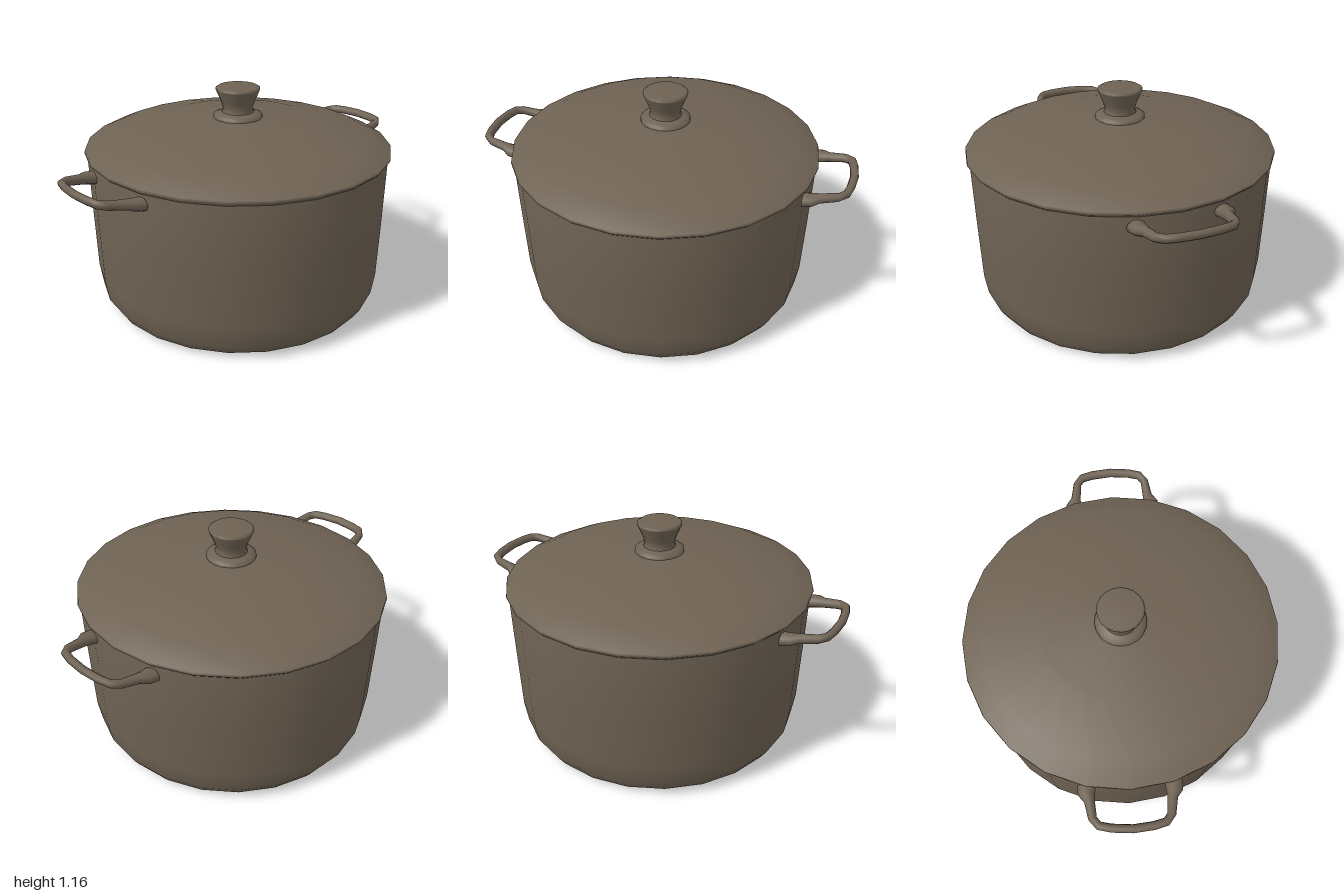
import * as THREE from 'three';

const potBrown = new THREE.MeshStandardMaterial({ color: 0x6e6253 });
potBrown.name = 'potBrown';

// Smooth turned part, slightly narrower in x, from [radius, height] pairs running up the outside
function turned(name, profile, sides) {
  const points = profile.map(([r, y]) => new THREE.Vector2(r, y));
  const geometry = new THREE.LatheGeometry(points, sides).scale(0.988, 1, 1);
  const mesh = new THREE.Mesh(geometry, potBrown);
  mesh.name = name;
  return mesh;
}

// Sweep of oval sections along a path lying in a slightly rising plane
// Each station: [x, z, half width, half height]
function handleGeometry(stations, sides = 10) {
  const positions = [], index = [];
  const n = stations.length;
  const rise = (x) => 0.797 + (x - 0.79) * 0.18;
  stations.forEach(([x, z, w, h], i) => {
    const a = stations[Math.max(i - 1, 0)], b = stations[Math.min(i + 1, n - 1)];
    const t = new THREE.Vector2(b[0] - a[0], b[1] - a[1]).normalize();
    for (let j = 0; j < sides; j++) {
      const angle = (j / sides) * Math.PI * 2;
      const px = x - t.y * Math.cos(angle) * w;
      const pz = z + t.x * Math.cos(angle) * w;
      positions.push(px, rise(px) + Math.sin(angle) * h, pz);
    }
  });
  for (let i = 0; i < n - 1; i++) {
    for (let j = 0; j < sides; j++) {
      const a = i * sides + j, b = i * sides + (j + 1) % sides;
      const c = a + sides, d = b + sides;
      index.push(a, c, b, b, c, d);
    }
  }
  const geometry = new THREE.BufferGeometry();
  geometry.setAttribute('position', new THREE.Float32BufferAttribute(positions, 3));
  geometry.setIndex(index);
  geometry.computeVertexNormals();
  return geometry;
}

export function createModel() {
  const group = new THREE.Group();
  group.name = 'cookingPot';

  // Hollow pot body with rounded foot
  group.add(turned('body', [
    [0, 0.003], [0.67, 0.005], [0.73, 0.03], [0.765, 0.085], [0.782, 0.2],
    [0.79, 0.5], [0.797, 0.838], [0.765, 0.838], [0.755, 0.2], [0.69, 0.05], [0, 0.04],
  ], 24));

  // Lid: flat underside, then a softly rounded rim and dome rising to the knob
  group.add(
    turned('lidUnderside', [[0, 0.838], [0.797, 0.838]], 24),
    turned('lid', [
      [0.797, 0.838], [0.811, 0.852], [0.808, 0.866], [0.69, 0.92], [0.41, 0.983],
      [0.13, 1.003], [0.115, 1.01],
    ], 24),
  );

  // Knob: collar, flared grip and shallow cap
  group.add(
    turned('knobCollar', [[0.13, 0.995], [0.13, 1.018], [0.105, 1.024], [0.08, 1.035]], 20),
    turned('knobGrip', [
      [0.088, 1.025], [0.077, 1.05], [0.088, 1.085], [0.115, 1.148], [0.117, 1.158],
      [0.105, 1.166], [0, 1.168],
    ], 20),
  );

  // Side handles with flared roots
  const half = [
    [0.755, -0.212, 0.045, 0.034], [0.8, -0.212, 0.042, 0.031], [0.835, -0.2, 0.026, 0.026],
    [0.92, -0.188, 0.021, 0.023], [0.955, -0.16, 0.021, 0.022], [0.97, -0.1, 0.021, 0.022],
  ];
  const mirrored = half.map(([x, z, w, h]) => [x, -z, w, h]).reverse();
  const geometry = handleGeometry([...half, [0.979, 0, 0.021, 0.022], ...mirrored]);
  for (const [name, turn] of [['leftHandle', 0], ['rightHandle', Math.PI]]) {
    const handle = new THREE.Mesh(geometry, potBrown);
    handle.name = name;
    handle.rotation.y = turn;
    group.add(handle);
  }
  return group;
}
